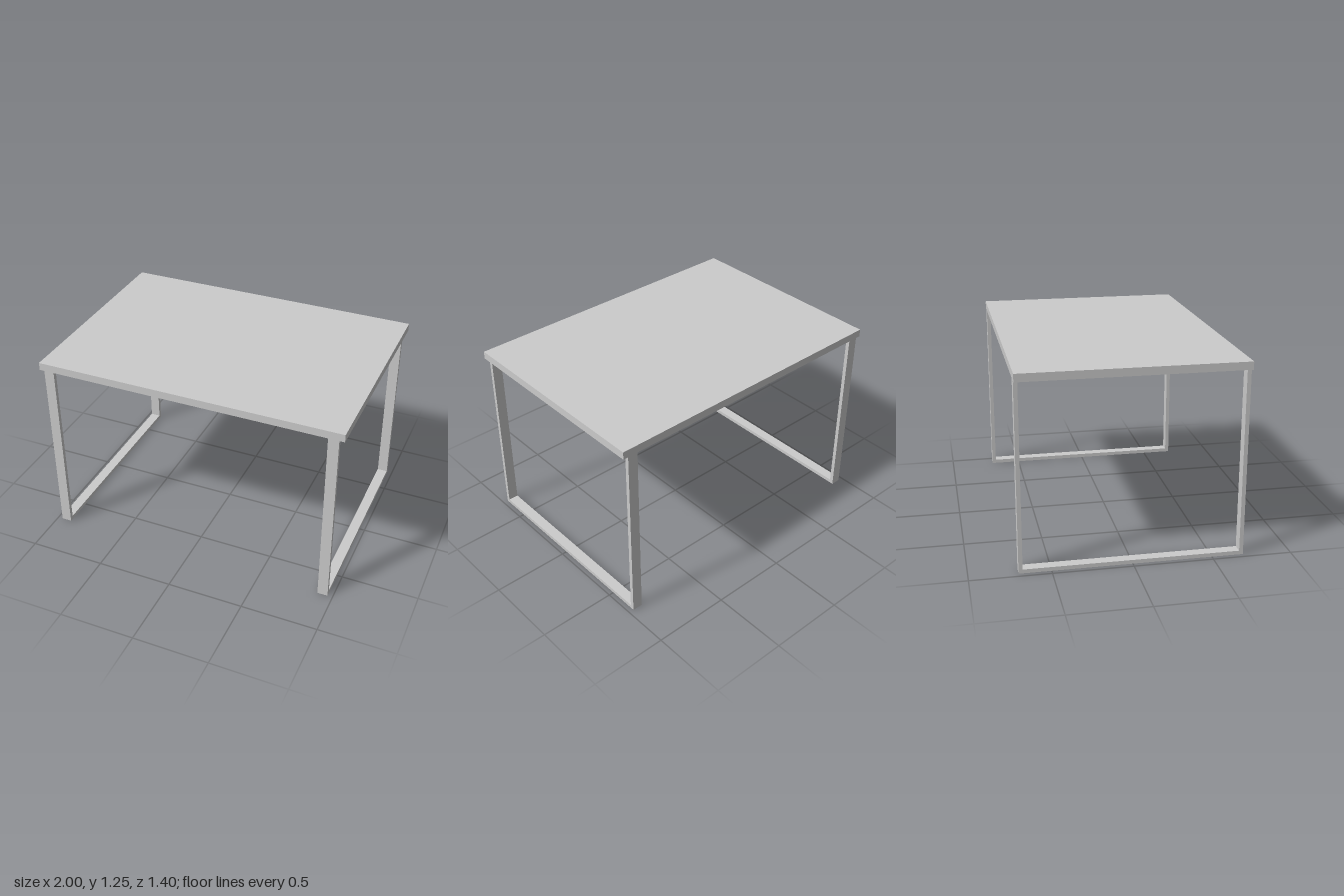
import * as THREE from 'three';

const material = new THREE.MeshStandardMaterial({ color: 0xcccccc });

function box(name, w, h, d, x, y, z) {
  const mesh = new THREE.Mesh(new THREE.BoxGeometry(w, h, d), material);
  mesh.name = name;
  mesh.position.set(x, y, z);
  return mesh;
}

export function createModel() {
  const table = new THREE.Group();
  table.name = 'table';

  const depth = 1.4, underside = 1.2, topThickness = 0.05;
  const barWidth = 0.067, barThickness = 0.025, frameX = 0.933;

  // Flat rectangular top
  table.add(box('tabletop', 2, topThickness, depth, 0, underside + topThickness / 2, 0));

  // U-shaped flat-bar frame at each end: two uprights joined by a floor rail
  for (const [side, sx] of [['left', 1], ['right', -1]]) {
    const frame = new THREE.Group();
    frame.name = side + 'LegFrame';
    frame.position.x = sx * frameX;
    const legHeight = underside - barThickness;
    for (const [end, sz] of [['front', 1], ['back', -1]]) {
      frame.add(box(end + 'Leg', barWidth, legHeight, barThickness,
        0, barThickness + legHeight / 2, sz * (depth - barThickness) / 2));
    }
    frame.add(box('floorRail', barWidth, barThickness, depth, 0, barThickness / 2, 0));
    table.add(frame);
  }
  return table;
}
